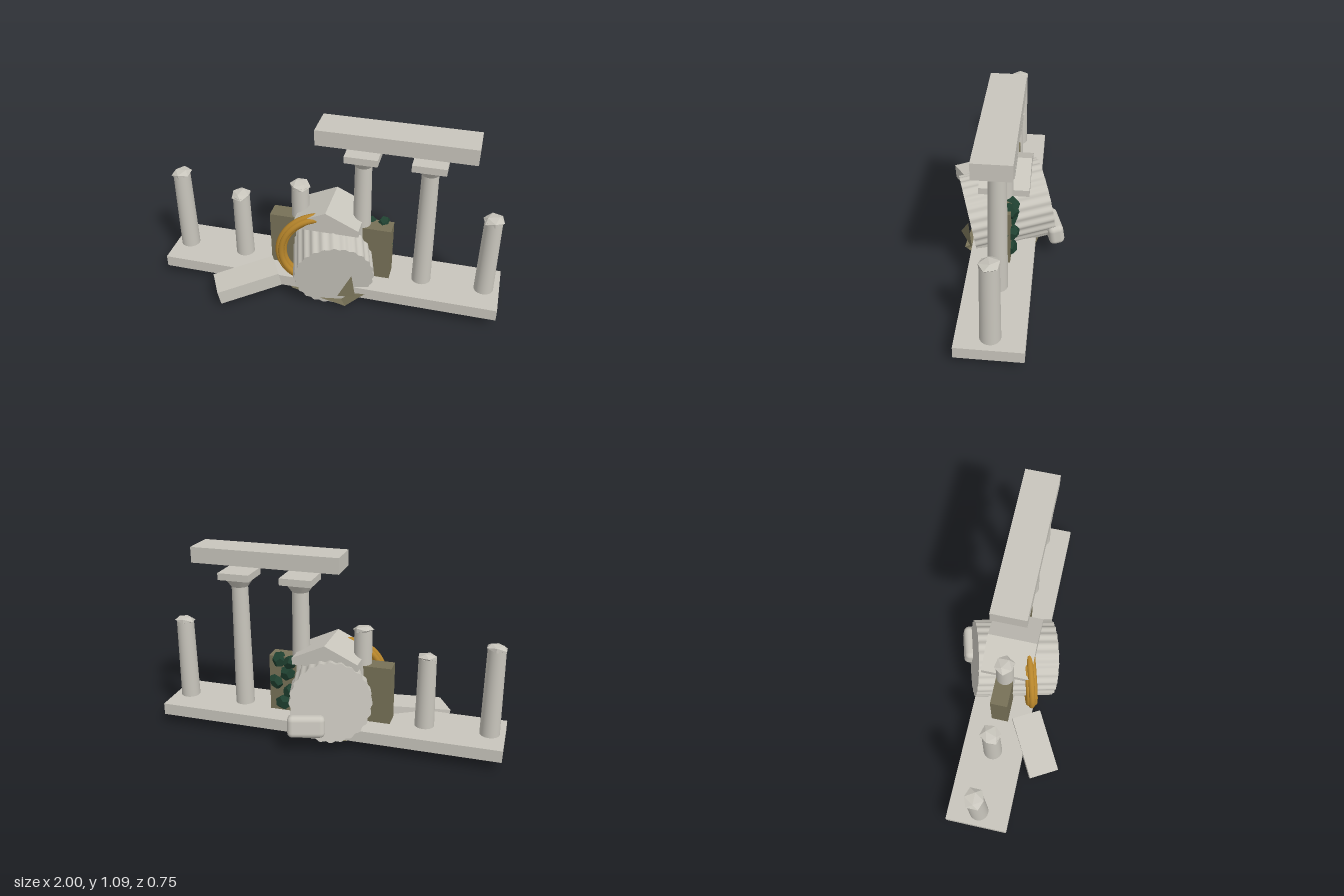
import * as THREE from 'three';
import { RoundedBoxGeometry } from 'three/addons/geometries/RoundedBoxGeometry.js';

const material = (name, color, extra = {}) => {
  const m = new THREE.MeshStandardMaterial({ color, ...extra });
  m.name = name;
  return m;
};

export function createModel() {
  const root = new THREE.Group();
  root.name = 'ruinedTemple';
  const marble = material('marble', 0xc8c5bc);
  const chipped = marble.clone();
  chipped.flatShading = true;
  const olive = material('oliveStone', 0x777157, { side: THREE.DoubleSide, flatShading: true });
  const gold = material('gold', 0xb8862b);
  const green = material('ivyGreen', 0x1f4030, { flatShading: true });

  const add = (name, geo, mat, x = 0, y = 0, z = 0, parent = root) => {
    const mesh = new THREE.Mesh(geo, mat);
    mesh.name = name;
    mesh.position.set(x, y, z);
    parent.add(mesh);
    return mesh;
  };
  const box = (name, w, h, d, mat, x, y, z) => add(name, new THREE.BoxGeometry(w, h, d), mat, x, y, z);

  // Long plinth, rear wall block and surviving lintel
  const Z = -0.04;
  box('plinth', 2, 0.07, 0.36, marble, 0, 0.105, Z);
  box('wallBlock', 0.72, 0.41, 0.1, olive, 0, 0.275, Z);
  box('lintel', 0.86, 0.09, 0.195, marble, 0.36, 1.055, Z);

  // Row of columns: broken ones end in a chipped cap, whole ones in a capital
  const columns = [[-0.915, 0.65], [-0.55, 0.555], [-0.185, 0.68], [0.18, 0.87, true], [0.545, 0.87, true], [0.91, 0.625]];
  columns.forEach(([x, top, whole], i) => {
    const h = top - 0.14;
    add('columnShaft', new THREE.CylinderGeometry(whole ? 0.047 : 0.05, 0.056, h, 24), marble, x, 0.14 + h / 2, Z);
    if (whole) {
      add('capital', new THREE.CylinderGeometry(0.085, 0.05, 0.05, 24), marble, x, 0.895, Z);
      box('abacus', 0.185, 0.04, 0.185, marble, x, 0.94, Z);
    } else {
      const cap = add('brokenTop', new THREE.IcosahedronGeometry(0.062, 0), chipped, x, top, Z);
      cap.scale.y = 0.4;
      cap.rotation.set(0.08, i * 1.3, 0.1);
    }
  });

  // Pediment as a gabled prism
  const gable = new THREE.Shape([[-0.19, 0.48], [0.19, 0.48], [0.19, 0.52], [0, 0.61], [-0.19, 0.52]]
    .map(([x, y]) => new THREE.Vector2(x, y)));
  add('pediment', new THREE.ExtrudeGeometry(gable, { depth: 0.285, bevelEnabled: false }), marble, 0, 0, -0.18);

  // Fallen fluted drum, tilted, with a rounded stub on its rear face
  const drum = new THREE.Group();
  drum.name = 'fallenDrum';
  drum.position.set(0.005, 0.2735, -0.0375);
  drum.rotation.set(0.156, 0.284, 0, 'YXZ');
  root.add(drum);
  const drumGeo = new THREE.CylinderGeometry(1, 1, 0.47, 144, 1);
  const p = drumGeo.attributes.position;
  for (let i = 0; i < p.count; i++) {
    const r = 0.227 + 0.005 * Math.cos(24 * Math.atan2(p.getZ(i), p.getX(i)));
    p.setXYZ(i, p.getX(i) * r, p.getY(i), p.getZ(i) * r);
  }
  drumGeo.computeVertexNormals();
  add('flutedDrum', drumGeo, marble, 0, 0, 0, drum).rotation.x = Math.PI / 2;
  add('drumStub', new RoundedBoxGeometry(0.21, 0.125, 0.09, 4, 0.03), marble, 0.135, -0.13, -0.235, drum);

  // Leaning gold ring made of three strands
  const ring = new THREE.Group();
  ring.name = 'goldRing';
  ring.position.set(-0.05, 0.33, 0.07);
  ring.rotation.y = 0.3;
  root.add(ring);
  [[0.232, 0], [0.202, 0], [0.217, 0.016], [0.217, -0.016]].forEach(([r, z]) =>
    add('ringStrand', new THREE.TorusGeometry(r, 0.018, 10, 64), gold, 0, 0, z, ring));

  // Fallen beam at the front right corner
  const beam = box('fallenBeam', 0.37, 0.088, 0.175, marble, -0.457, 0.115, 0.197);
  beam.rotation.set(0, 0.51, 0.18, 'YXZ');

  // Crumpled ground sheet under the drum, and a sharp splinter
  const rim = [[-0.35, 0.06, 0], [-0.2, 0.05, 0.13], [-0.02, 0.055, 0.18], [0.14, 0.04, 0.2], [0.23, 0.11, 0.17],
    [0.31, 0.06, 0.02], [0.2, 0.07, -0.2], [-0.04, 0.065, -0.25], [-0.25, 0.06, -0.17]];
  const fan = [];
  rim.forEach((a, i) => fan.push(0, 0.035, -0.02, ...a, ...rim[(i + 1) % rim.length]));
  const sheet = (name, points) => {
    const g = new THREE.BufferGeometry();
    g.setAttribute('position', new THREE.Float32BufferAttribute(points, 3));
    g.computeVertexNormals();
    add(name, g, olive);
  };
  sheet('groundSheet', fan);
  sheet('splinter', [0.1, 0.13, 0.225, 0.19, 0.08, 0.15, 0.17, 0.25, 0.17]);

  // Ivy clumps climbing the back of the wall block
  [[0.28, 0.19], [0.24, 0.27], [0.32, 0.32], [0.25, 0.38], [0.3, 0.46], [0.23, 0.45]].forEach(([x, y], i) => {
    const clump = add('ivyClump', new THREE.DodecahedronGeometry(0.05, 0), green, x, y, -0.085);
    clump.rotation.set(i, i * 2, 0.4);
    clump.scale.z = 0.8;
  });

  return root;
}
